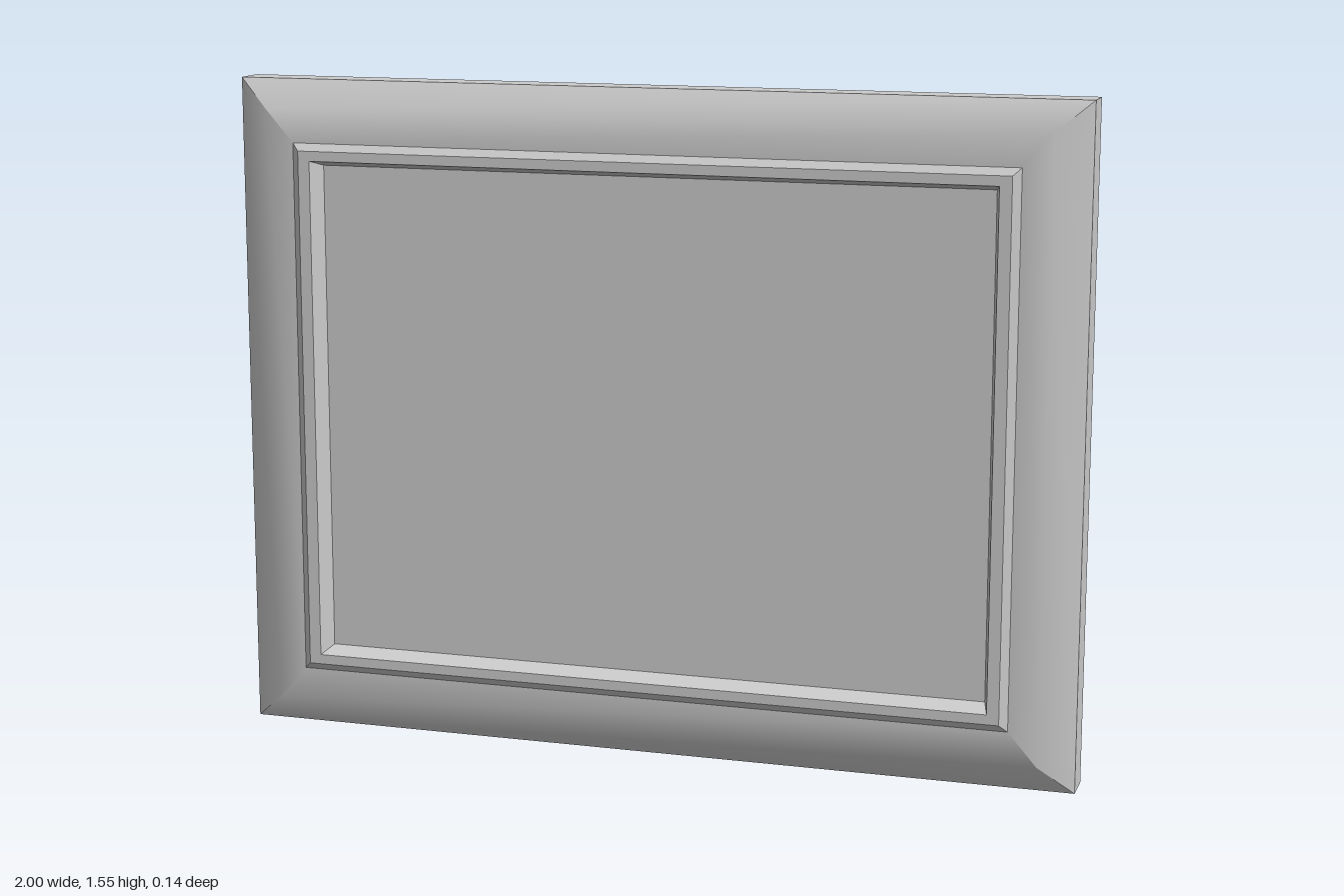
import * as THREE from 'three';

const W = 1, H = 1.555, BACK = -0.071;
const material = new THREE.MeshStandardMaterial({ color: 0xcccccc, side: THREE.DoubleSide });

// Profile rings from outside to inside: [inset in x, inset in y, z]
const bands = {
  outerWall: [[0, 0, BACK], [0, 0, 0.01]],
  moulding: [[0, 0, 0.01], [0.08, 0.068, 0.057], [0.147, 0.145, 0.057]],
  innerStep: [[0.147, 0.145, 0.057], [0.165, 0.162, 0.071]],
  lip: [[0.165, 0.162, 0.071], [0.193, 0.185, 0.071]],
  recessWall: [[0.193, 0.185, 0.071], [0.207, 0.199, 0.02]],
};

// Four corners of a rectangle ring, counter-clockwise seen from the front
const corners = ([dx, dy, z]) => [
  [-W + dx, dy, z], [W - dx, dy, z], [W - dx, H - dy, z], [-W + dx, H - dy, z],
];

// One mitred side of a band, smooth across its profile
function sideStrip(profile, side) {
  const rings = profile.map(corners);
  const positions = [], index = [];
  rings.forEach((ring, i) => {
    positions.push(...ring[side], ...ring[(side + 1) % 4]);
    if (i > 0) {
      const a = (i - 1) * 2;
      index.push(a, a + 1, a + 3, a, a + 3, a + 2);
    }
  });
  const geometry = new THREE.BufferGeometry();
  geometry.setAttribute('position', new THREE.Float32BufferAttribute(positions, 3));
  geometry.setIndex(index);
  geometry.computeVertexNormals();
  return geometry;
}

export function createModel() {
  const model = new THREE.Group();
  model.name = 'pictureFrame';

  // Hollow frame, open at the back
  const sides = ['bottom', 'right', 'top', 'left'];
  // Seen from the front, the +x side is the model's own left
  sides[1] = 'left';
  sides[3] = 'right';
  for (const [name, profile] of Object.entries(bands)) {
    const band = new THREE.Group();
    band.name = name;
    sides.forEach((label, i) => {
      const mesh = new THREE.Mesh(sideStrip(profile, i), material);
      mesh.name = `${name}_${label}`;
      band.add(mesh);
    });
    model.add(band);
  }

  // Flat panel at the bottom of the recess
  const [dx, dy, z] = bands.recessWall[1];
  const panel = new THREE.Mesh(new THREE.PlaneGeometry(2 * (W - dx), H - 2 * dy), material);
  panel.name = 'picturePanel';
  panel.position.set(0, H / 2, z);
  model.add(panel);

  return model;
}
